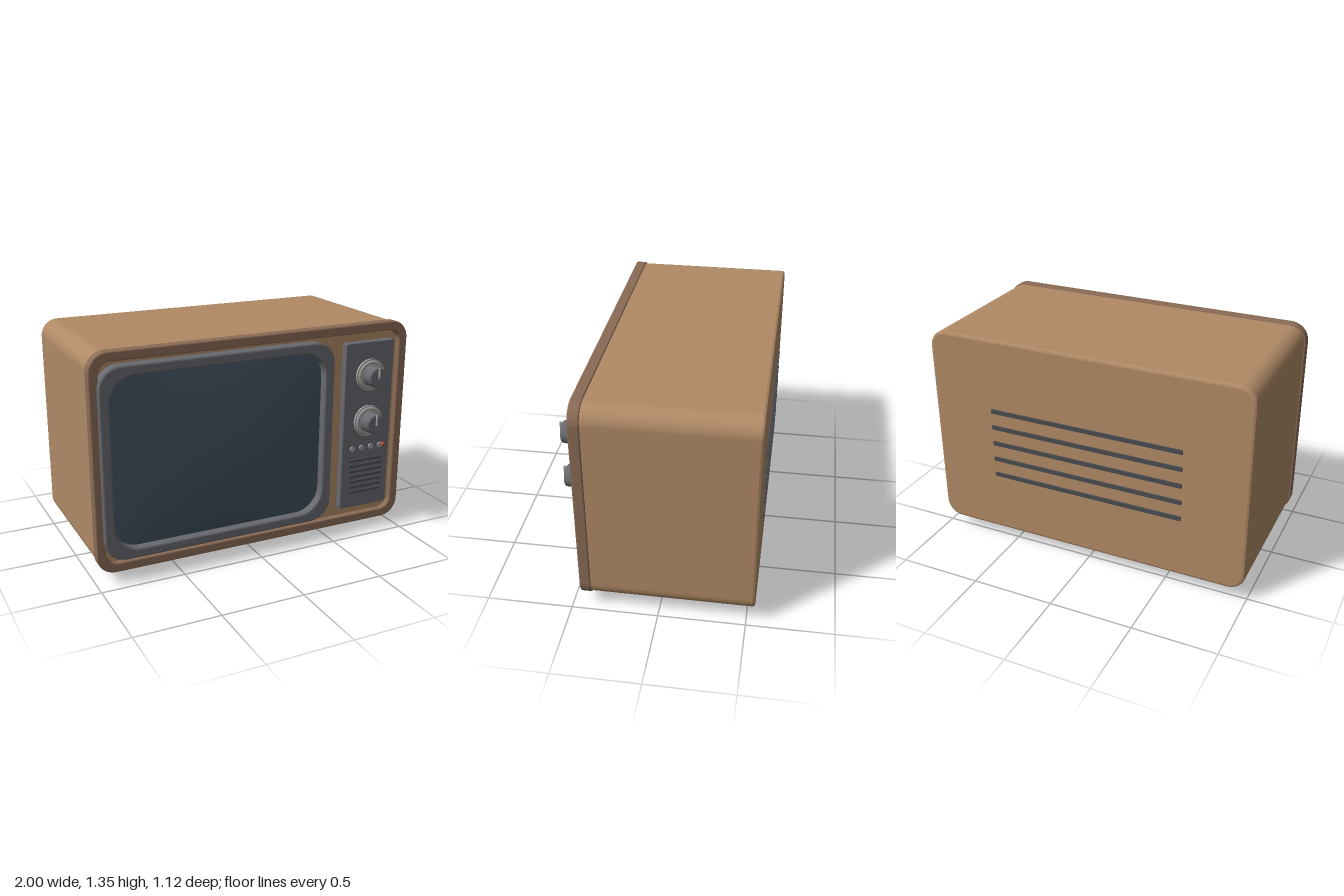
import * as THREE from 'three';

const mat = (color) => new THREE.MeshStandardMaterial({ color });
const wood = mat(0xb08a66), trim = mat(0x8a6b55), grey = mat(0x68696e), dark = mat(0x4a4b50);
const light = mat(0x9c9c9e), glassBlue = mat(0x43525f), red = mat(0xc8452c);

// Rounded rectangle outline between two corners
function roundRect(x0, x1, y0, y1, r, Type = THREE.Shape) {
  const s = new Type();
  s.absarc(x1 - r, y1 - r, r, 0, Math.PI / 2);
  s.absarc(x0 + r, y1 - r, r, Math.PI / 2, Math.PI);
  s.absarc(x0 + r, y0 + r, r, Math.PI, Math.PI * 1.5);
  s.absarc(x1 - r, y0 + r, r, Math.PI * 1.5, Math.PI * 2);
  s.closePath();
  return s;
}

export function createModel() {
  const model = new THREE.Group();
  model.name = 'television';

  const add = (name, geometry, material, x = 0, y = 0, z = 0, parent = model) => {
    const mesh = new THREE.Mesh(geometry, material);
    mesh.name = name;
    mesh.position.set(x, y, z);
    parent.add(mesh);
    return mesh;
  };

  // Outline extruded from z0 to z1 with bevelled edges kept inside the outline
  const slab = (name, shape, z0, z1, bevel, material, segments = 6) => {
    const geometry = new THREE.ExtrudeGeometry(shape, {
      depth: z1 - z0 - 2 * bevel, curveSegments: segments, bevelEnabled: true,
      bevelSize: bevel, bevelThickness: bevel, bevelOffset: -bevel, bevelSegments: 2,
    });
    return add(name, geometry, material, 0, 0, z0 + bevel);
  };

  // Round part whose axis points forward, from z0 to z1
  const disc = (name, rBack, rFront, z0, z1, material, x, y, parent, sides = 24) => {
    const geometry = new THREE.CylinderGeometry(rFront, rBack, z1 - z0, sides).rotateX(Math.PI / 2);
    return add(name, geometry, material, x, y, (z0 + z1) / 2, parent);
  };

  // Cabinet and the raised frame around its front
  slab('cabinet', roundRect(-0.99, 0.99, 0.08, 1.337, 0.1), -0.547, 0.41, 0.016, wood);
  const frame = roundRect(-1, 1, 0.075, 1.345, 0.11);
  frame.holes.push(roundRect(-0.945, 0.945, 0.13, 1.29, 0.07, THREE.Path));
  slab('frontFrame', frame, 0.383, 0.446, 0.007, trim);

  // Screen surround
  const bezel = roundRect(-0.957, 0.48, 0.152, 1.27, 0.13);
  bezel.holes.push(roundRect(-0.897, 0.418, 0.21, 1.21, 0.15, THREE.Path));
  slab('screenBezel', bezel, 0.4, 0.473, 0.01, grey, 10);

  // Gently domed glass
  const glass = new THREE.PlaneGeometry(1.33, 1.02, 24, 20);
  const p = glass.attributes.position;
  for (let i = 0; i < p.count; i++) {
    const u = p.getX(i) / 0.665, v = p.getY(i) / 0.51;
    p.setZ(i, 0.025 * (1 - u * u) * (1 - v * v));
  }
  glass.computeVertexNormals();
  add('screenGlass', glass, glassBlue, -0.24, 0.71, 0.422);

  // Control panel
  slab('controlPanel', roundRect(0.568, 0.907, 0.183, 1.237, 0.012), 0.4, 0.451, 0.006, grey);

  // Tuning knobs
  for (const [name, y] of [['upperKnob', 1.035], ['lowerKnob', 0.745]]) {
    const knob = new THREE.Group();
    knob.name = name;
    knob.position.set(0.74, y, 0);
    model.add(knob);
    disc('dialRim', 0.098, 0.098, 0.44, 0.465, light, 0, 0, knob);
    disc('dialFace', 0.09, 0.082, 0.465, 0.473, light, 0, 0, knob);
    disc('grip', 0.066, 0.061, 0.47, 0.54, grey, 0, 0, knob);
    disc('gripEdge', 0.061, 0.054, 0.54, 0.547, grey, 0, 0, knob);
    add('pointer', new THREE.BoxGeometry(0.007, 0.065, 0.02), light, 0, 0.028, 0.55, knob);
    knob.traverse((o) => {
      if (o.isMesh) { o.material = o.material.clone(); o.material.flatShading = true; }
    });
  }

  // Push buttons and power lamp
  for (let i = 0; i < 4; i++) {
    disc('pushButton', 0.017, 0.017, 0.44, 0.461, light, 0.64 + i * 0.066, 0.573, model, 12);
  }
  add('powerLamp', new THREE.SphereGeometry(0.016, 12, 8), red, 0.86, 0.573, 0.453);

  // Speaker slats
  for (let i = 0; i < 7; i++) {
    add('speakerSlat', new THREE.BoxGeometry(0.238, 0.014, 0.02), dark, 0.738, 0.287 + i * 0.0345, 0.452);
  }

  // Rear ventilation slats
  for (let i = 0; i < 5; i++) {
    add('rearVent', new THREE.BoxGeometry(1.2, 0.025, 0.02), dark, 0, 0.466 + i * 0.106, -0.547);
  }

  // Feet
  const footMaterial = grey.clone();
  footMaterial.flatShading = true;
  for (const x of [-0.795, 0.795]) {
    for (const z of [-0.335, 0.197]) {
      add('foot', new THREE.CylinderGeometry(0.037, 0.046, 0.1, 10), footMaterial, x, 0.05, z);
    }
  }
  return model;
}
